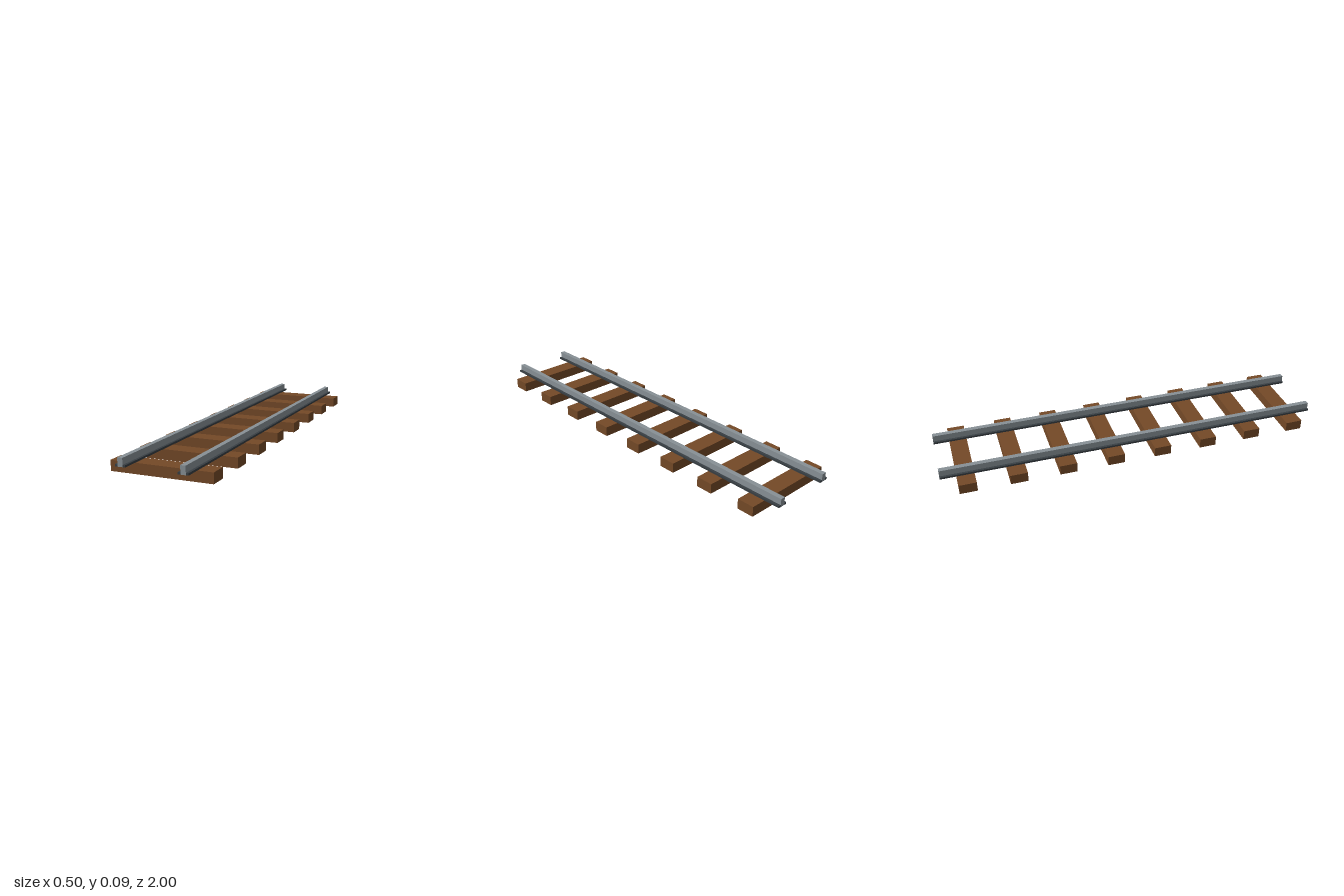
import * as THREE from 'three';

export function createModel() {
  const track = new THREE.Group();
  track.name = 'railwayTrack';

  const wood = new THREE.MeshStandardMaterial({ color: 0x744927 });
  const steel = new THREE.MeshStandardMaterial({ color: 0x889196 });
  const darkSteel = new THREE.MeshStandardMaterial({ color: 0x383f44 });

  // Adds a box standing on the given bottom height
  function addBox(name, parent, material, [w, h, d], x, bottom, z) {
    const mesh = new THREE.Mesh(new THREE.BoxGeometry(w, h, d), material);
    mesh.name = name;
    mesh.position.set(x, bottom + h / 2, z);
    parent.add(mesh);
  }

  // Eight evenly spaced wooden sleepers
  const sleepers = new THREE.Group();
  sleepers.name = 'sleepers';
  for (let i = 0; i < 8; i++) {
    addBox('sleeper', sleepers, wood, [0.5, 0.051, 0.088], 0, 0, -0.875 + i * 0.25);
  }
  track.add(sleepers);

  // Two rails: an upright steel bar between dark foot flanges
  for (const side of [-1, 1]) {
    const rail = new THREE.Group();
    rail.name = side > 0 ? 'leftRail' : 'rightRail';
    rail.position.x = side * 0.15;
    addBox('railBar', rail, steel, [0.025, 0.041, 2], 0, 0.051, 0);
    for (const edge of [-1, 1]) {
      addBox('railFlange', rail, darkSteel, [0.0125, 0.01, 2], edge * 0.01875, 0.051, 0);
    }
    track.add(rail);
  }

  return track;
}
